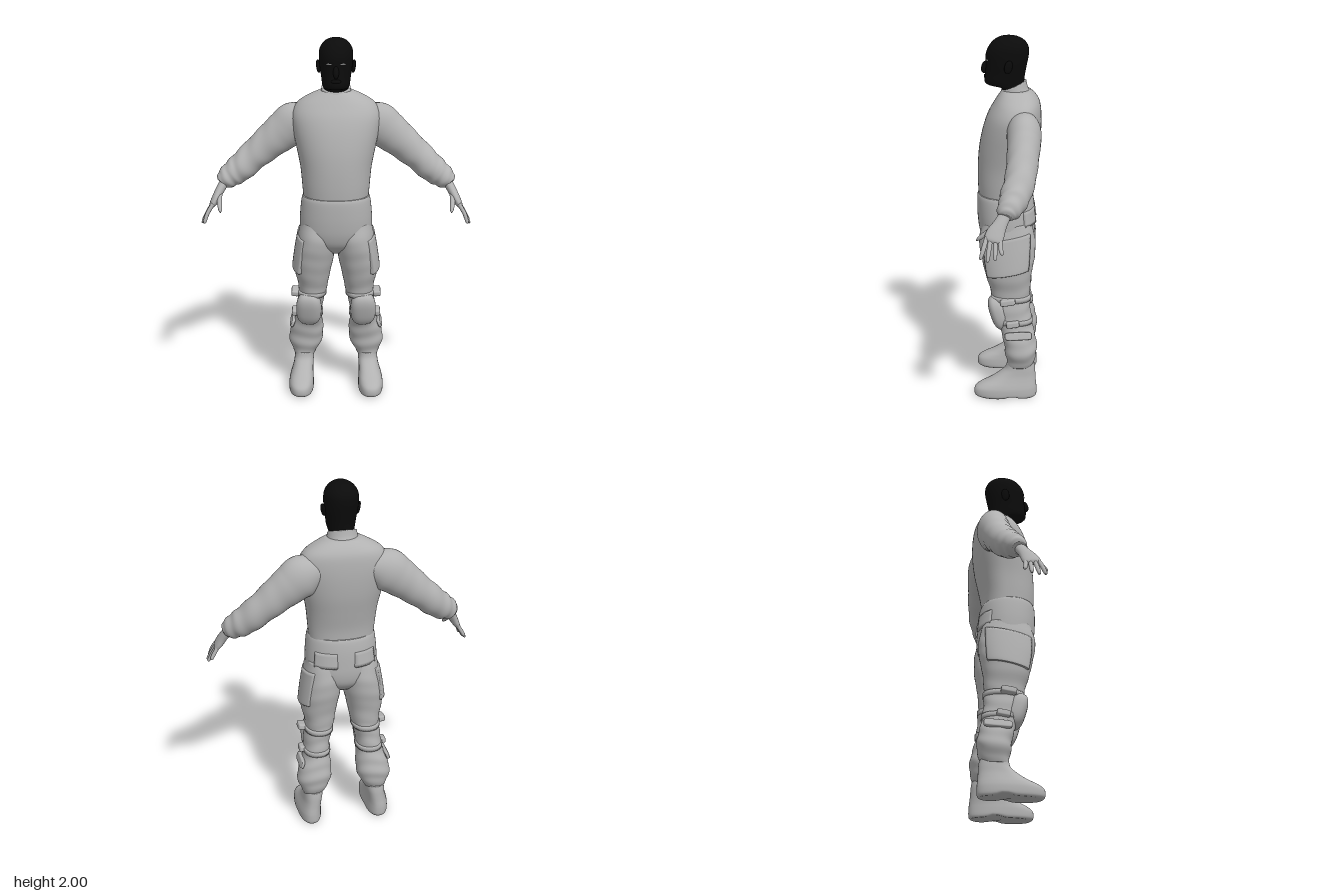
import * as THREE from 'three';

const TAU = Math.PI * 2;
const grey = new THREE.MeshStandardMaterial({ color: 0xb2b2b2 });
grey.name = 'grey cloth';
const black = new THREE.MeshStandardMaterial({ color: 0x0b0b0b });
black.name = 'black mask';
const white = new THREE.MeshStandardMaterial({ color: 0xe4e4e4 });
white.name = 'eye white';

const power = (v, e) => Math.sign(v) * Math.abs(v) ** e;

// Fills in smooth rows between the given ones
function refine(rows, steps) {
  const out = [];
  const at = i => rows[Math.min(Math.max(i, 0), rows.length - 1)];
  for (let i = 0; i < rows.length - 1; i++) {
    for (let s = 0; s < steps; s++) {
      const t = s / steps;
      out.push(rows[i].map((b, k) => {
        const a = at(i - 1)[k], c = at(i + 1)[k], d = at(i + 2)[k];
        return 0.5 * (2 * b + (c - a) * t + (2 * a - 5 * b + 4 * c - d) * t * t
          + (3 * b - a - 3 * c + d) * t * t * t);
      }));
    }
  }
  out.push(rows[rows.length - 1]);
  return out;
}

// Joins rings of points into a closed, capped surface
function skin(rings) {
  const n = rings[0].length, pos = [], idx = [];
  rings.forEach(r => r.forEach(p => pos.push(p.x, p.y, p.z)));
  for (let i = 0; i < rings.length - 1; i++) {
    for (let j = 0; j < n; j++) {
      const a = i * n + j, c = i * n + (j + 1) % n;
      idx.push(a, a + n, c, c, a + n, c + n);
    }
  }
  [0, rings.length - 1].forEach((i, end) => {
    const mid = new THREE.Vector3();
    rings[i].forEach(p => mid.addScaledVector(p, 1 / n));
    const m = pos.length / 3;
    pos.push(mid.x, mid.y, mid.z);
    for (let j = 0; j < n; j++) {
      const a = i * n + j, c = i * n + (j + 1) % n;
      idx.push(m, end ? c : a, end ? a : c);
    }
  });
  const g = new THREE.BufferGeometry();
  g.setAttribute('position', new THREE.Float32BufferAttribute(pos, 3));
  g.setIndex(idx);
  g.computeVertexNormals();
  return g;
}

// Upright form; rows are [y, centre x, half width, front z, back z]
function upright(rows, { steps = 4, n = 40, p = 2.2, k = 0.5, tilt = 0, shape = () => 1 } = {}) {
  return skin(refine(rows, steps).map(([y, cx, rx, zf, zb]) => {
    const zw = zb + (zf - zb) * k;
    return Array.from({ length: n }, (_, j) => {
      const a = j / n * TAU, s = shape(a > Math.PI ? a - TAU : a, y);
      const z = power(Math.sin(a), 2 / p) * (Math.sin(a) > 0 ? zf - zw : zw - zb) * s;
      return new THREE.Vector3(cx + rx * s * power(Math.cos(a), 2 / p), y + tilt * z, zw + z);
    });
  }));
}

// Limb along a path; rows are [x, y, z, radius across, radius deep]
function limb(rows, { steps = 5, n = 32, shape = () => 1 } = {}) {
  const fine = refine(rows, steps), V = r => new THREE.Vector3(r[0], r[1], r[2]);
  return skin(fine.map((r, i) => {
    const d = V(fine[Math.min(i + 1, fine.length - 1)]).sub(V(fine[Math.max(i - 1, 0)])).normalize();
    const u = new THREE.Vector3(-d.y, d.x, 0).normalize(), v = u.clone().cross(d);
    return Array.from({ length: n }, (_, j) => {
      const a = j / n * TAU, s = shape(a, i / fine.length);
      return V(r).addScaledVector(u, r[3] * s * Math.cos(a)).addScaledVector(v, r[4] * s * Math.sin(a));
    });
  }));
}

// Soft pad: a sphere pushed towards a box
function pad(size, at, rot = [0, 0, 0], e = 0.6) {
  const g = new THREE.SphereGeometry(1, 28, 20), p = g.attributes.position;
  for (let i = 0; i < p.count; i++) {
    p.setXYZ(i, power(p.getX(i), e) * size[0], power(p.getY(i), e) * size[1], power(p.getZ(i), e) * size[2]);
  }
  g.computeVertexNormals();
  g.applyMatrix4(new THREE.Matrix4().makeRotationFromEuler(new THREE.Euler(...rot)));
  return g.translate(...at);
}

function mirrored(g) {
  const m = g.clone().scale(-1, 1, 1), ix = m.index.array;
  for (let i = 0; i < ix.length; i += 3) [ix[i], ix[i + 1]] = [ix[i + 1], ix[i]];
  m.computeVertexNormals();
  return m;
}

export function createModel() {
  const model = new THREE.Group();
  model.name = 'standing figure';
  const add = (name, g, mat = grey) => {
    const mesh = new THREE.Mesh(g, mat);
    mesh.name = name;
    model.add(mesh);
  };
  const pair = (name, g, mat = grey) => {
    add(name + 'Left', g, mat);
    add(name + 'Right', mirrored(g), mat);
  };

  // Shirt and collar
  add('shirt', upright([[1.12, 0, 0.178, 0.158, -0.125], [1.2, 0, 0.185, 0.163, -0.13], [1.3, 0, 0.195, 0.163, -0.15],
    [1.4, 0, 0.215, 0.155, -0.17], [1.5, 0, 0.235, 0.135, -0.18], [1.58, 0, 0.24, 0.108, -0.18],
    [1.64, 0, 0.212, 0.075, -0.172], [1.68, 0, 0.155, 0.05, -0.15], [1.71, 0, 0.09, 0.03, -0.12]], { k: 0.42, n: 56 }));
  add('collar', upright([[1.65, 0, 0.1, 0.06, -0.13], [1.69, 0, 0.086, 0.042, -0.108], [1.735, 0, 0.077, 0.036, -0.098]],
    { tilt: -0.4, p: 2 }));

  // Masked head
  add('head', upright([[1.69, 0, 0.066, 0.025, -0.085], [1.722, 0, 0.068, 0.04, -0.085], [1.738, 0, 0.07, 0.108, -0.086],
    [1.76, 0, 0.075, 0.125, -0.087], [1.8, 0, 0.08, 0.12, -0.092], [1.85, 0, 0.088, 0.117, -0.102],
    [1.9, 0, 0.091, 0.117, -0.111], [1.94, 0, 0.087, 0.102, -0.109], [1.972, 0, 0.068, 0.076, -0.088],
    [1.992, 0, 0.039, 0.042, -0.052], [2, 0, 0.004, 0.004, -0.01]], { p: 2.1, k: 0.45 }), black);
  add('nose', pad([0.015, 0.034, 0.021], [0, 1.83, 0.12], [-0.3, 0, 0], 0.9), black);
  add('lips', pad([0.026, 0.011, 0.012], [0, 1.782, 0.116], [0, 0, 0], 0.9), black);
  pair('ear', pad([0.009, 0.035, 0.022], [0.094, 1.846, -0.005], [-0.15, 0.35, -0.12], 0.9), black);
  pair('eye', pad([0.016, 0.0035, 0.004], [0.037, 1.872, 0.109], [0, 0.3, 0], 1), white);

  // Wrinkled sleeves
  pair('sleeve', limb([[0.13, 1.56, -0.08, 0.07, 0.075], [0.22, 1.525, -0.09, 0.115, 0.09], [0.285, 1.48, -0.09, 0.108, 0.088],
    [0.36, 1.42, -0.085, 0.095, 0.083], [0.45, 1.345, -0.075, 0.083, 0.08], [0.53, 1.275, -0.05, 0.077, 0.077],
    [0.58, 1.24, -0.03, 0.066, 0.066], [0.61, 1.215, -0.012, 0.053, 0.055], [0.625, 1.2, -0.005, 0.034, 0.038]], {
    steps: 8,
    shape: (a, t) => 1 + 0.035 * Math.min(1, Math.max(0, t * 3 - 0.7)) * Math.sin(t * 48 + 2.2 * Math.sin(a + 0.6) + Math.cos(2 * a)),
  }));

  // Hands
  pair('palm', limb([[0.605, 1.22, -0.01, 0.026, 0.03], [0.637, 1.165, 0.022, 0.024, 0.036], [0.658, 1.125, 0.044, 0.022, 0.047],
    [0.675, 1.095, 0.056, 0.017, 0.045], [0.682, 1.083, 0.06, 0.007, 0.03]], { n: 20 }));
  [[0.022, 0.712, 1.03, 0.012], [0.043, 0.725, 1.008, 0.045], [0.066, 0.726, 1.0, 0.082], [0.087, 0.714, 1.008, 0.116]]
    .forEach(([z0, x, y, z], i) => pair('finger' + (i + 1), limb([[0.667, 1.11, z0, 0.011, 0.011],
      [0.697, 1.06, (z0 + z) / 2, 0.011, 0.012], [x - 0.002, y + 0.008, z - 0.001, 0.009, 0.009], [x, y, z, 0.002, 0.002]],
    { n: 10 })));
  pair('thumb', limb([[0.635, 1.16, 0.03, 0.014, 0.017], [0.632, 1.122, 0.085, 0.014, 0.014],
    [0.626, 1.088, 0.127, 0.01, 0.01], [0.622, 1.075, 0.142, 0.002, 0.002]], { n: 12 }));

  // Trouser seat with back pocket flaps
  add('trouserSeat', upright([[0.82, 0, 0.07, 0.07, -0.09], [0.87, 0, 0.16, 0.13, -0.135], [0.93, 0, 0.195, 0.155, -0.15],
    [1, 0, 0.199, 0.165, -0.15], [1.07, 0, 0.195, 0.168, -0.146], [1.125, 0, 0.188, 0.167, -0.138],
    [1.145, 0, 0.181, 0.161, -0.13]], { n: 56 }));
  pair('backPocketFlap', upright([[0.985, 0, 0.201, 0.16, -0.158], [1.07, 0, 0.193, 0.16, -0.147]],
    { n: 80, shape: a => (Math.abs(a + 0.98) < 0.36 ? 1.025 : 0.85) }));

  // Trouser legs with folds below the knee
  pair('trouserLeg', upright([[0.18, 0.18, 0.056, 0, -0.14], [0.21, 0.178, 0.071, 0.002, -0.152], [0.25, 0.175, 0.09, 0.01, -0.162],
    [0.3, 0.17, 0.096, 0.016, -0.166], [0.36, 0.163, 0.088, 0.028, -0.155], [0.42, 0.154, 0.075, 0.05, -0.14],
    [0.5, 0.147, 0.072, 0.073, -0.13], [0.6, 0.13, 0.079, 0.088, -0.126], [0.7, 0.13, 0.099, 0.117, -0.132],
    [0.8, 0.121, 0.111, 0.14, -0.15], [0.9, 0.109, 0.104, 0.155, -0.153], [1, 0.104, 0.09, 0.13, -0.13]], {
    steps: 6,
    shape: (a, y) => 1 + (y < 0.62 ? 0.022 : 0.006) * Math.sin(y * 75 + 2 * Math.sin(a) + Math.cos(2 * a + 1)),
  }));

  // Cargo pockets wrapped round the outer thighs
  pair('cargoPocket', upright([[0.73, 0.13, 0.108, 0.13, -0.14], [0.75, 0.128, 0.11, 0.135, -0.145], [0.84, 0.118, 0.107, 0.15, -0.152],
    [0.93, 0.107, 0.102, 0.152, -0.153]], { n: 64, tilt: -0.18, shape: a => (Math.abs(a) < 0.95 ? 1.045 : 0.85) }));

  // Knee pads, straps, buckles and shin flaps
  pair('kneePad', pad([0.071, 0.1, 0.05], [0.152, 0.487, 0.046], [0.3, 0.1, 0], 0.75));
  [[0.575, 0.135, 0.08, 0.087, -0.13], [0.445, 0.151, 0.076, 0.06, -0.14]].forEach(([y, ...r], i) => {
    pair('kneeStrap' + i, upright([[y - 0.014, ...r], [y + 0.014, ...r]], { steps: 2, shape: () => 1.02 }));
    pair('buckle' + i, pad([0.022, 0.017, 0.042 - i * 0.006], [0.229, y, -0.005 - i * 0.028], [0.15, 0, 0.1], 0.4));
  });
  pair('shinFlap', pad([0.012, 0.022, 0.075], [0.246, 0.382, -0.064], [0.05, 0, 0.35], 0.4));

  // Boots with a raised arch
  const boot = upright([[0, 0.196, 0.061, 0.165, -0.155], [0.014, 0.197, 0.069, 0.182, -0.165], [0.05, 0.197, 0.069, 0.18, -0.166],
    [0.075, 0.195, 0.065, 0.15, -0.164], [0.1, 0.191, 0.06, 0.098, -0.161], [0.13, 0.186, 0.056, 0.05, -0.159],
    [0.165, 0.182, 0.055, 0.01, -0.157], [0.2, 0.18, 0.054, 0, -0.152]], { p: 2.4, k: 0.56 });
  const p = boot.attributes.position;
  for (let i = 0; i < p.count; i++) {
    const y = p.getY(i), z = p.getZ(i);
    if (y < 0.03) p.setY(i, y + 0.014 * (1 - y / 0.03) * Math.exp(-(((z + 0.03) / 0.035) ** 2)));
  }
  boot.computeVertexNormals();
  pair('boot', boot);

  return model;
}
